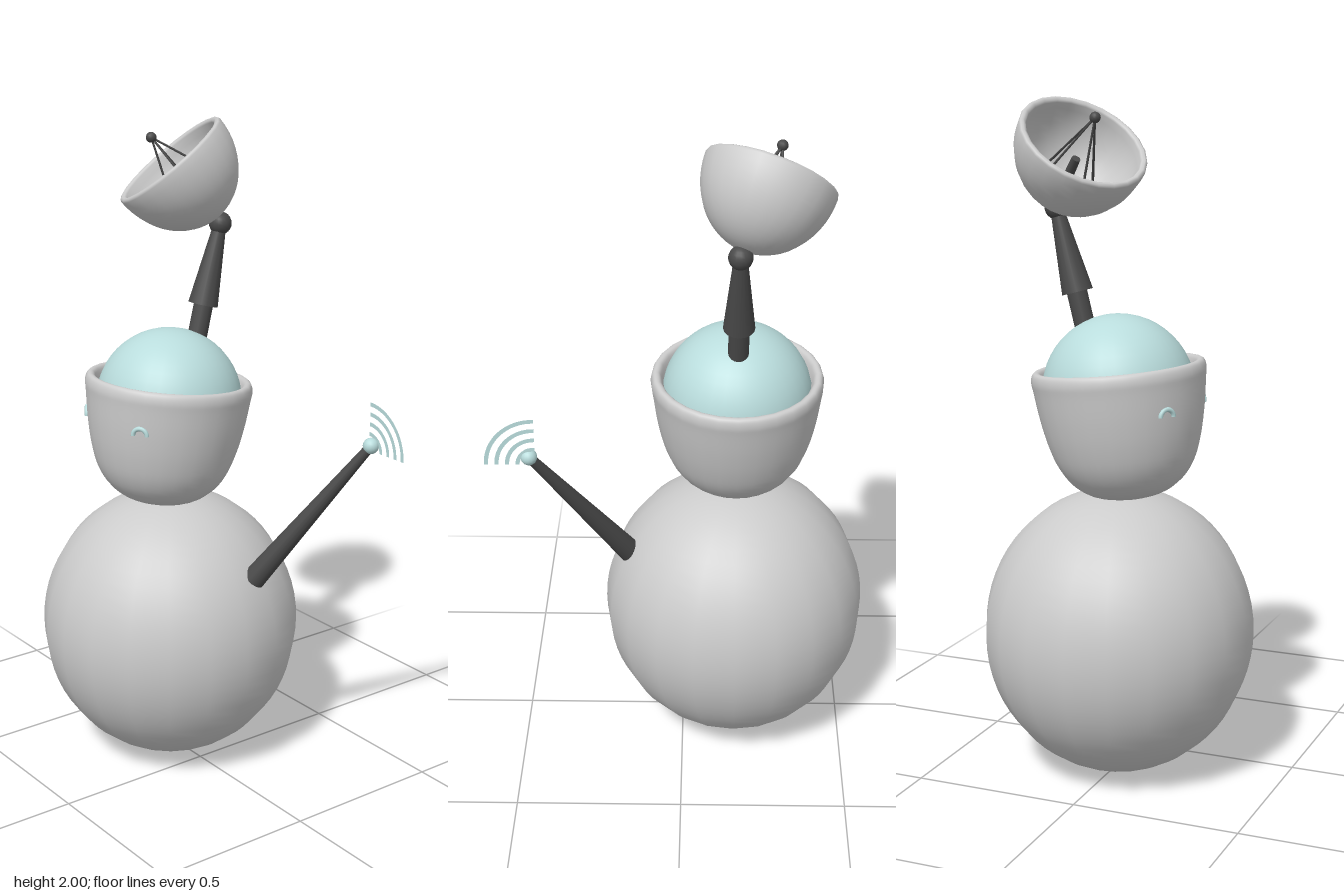
import * as THREE from 'three';

const V = (x, y, z) => new THREE.Vector3(x, y, z);
const mat = (color) => new THREE.MeshStandardMaterial({ color, side: THREE.DoubleSide });
const grey = mat(0xcccccc), dark = mat(0x4a4a4a), teal = mat(0xb9dcdc);

function add(parent, name, geometry, material, pos) {
  const mesh = new THREE.Mesh(geometry, material);
  mesh.name = name;
  if (pos) mesh.position.copy(pos);
  parent.add(mesh);
  return mesh;
}

// Tapered rod between two points
function rod(parent, name, a, b, ra, rb, material, sides = 16) {
  const dir = b.clone().sub(a);
  const mesh = add(parent, name, new THREE.CylinderGeometry(rb, ra, dir.length(), sides), material,
    a.clone().add(b).multiplyScalar(0.5));
  mesh.quaternion.setFromUnitVectors(V(0, 1, 0), dir.normalize());
  return mesh;
}

const ball = (r, w = 16, h = 12) => new THREE.SphereGeometry(r, w, h);

// Lathe through a smooth curve over a few profile points
function smoothLathe(pairs, steps, sides) {
  const curve = new THREE.SplineCurve(pairs.map(([r, y]) => new THREE.Vector2(r, y)));
  const points = curve.getPoints(steps);
  points.forEach((p) => { p.x = Math.max(p.x, 0); });
  return new THREE.LatheGeometry(points, sides);
}

export function createModel() {
  const model = new THREE.Group();
  model.name = 'robot';
  const Z = -0.16;

  // Round body, slightly taller than wide
  const body = add(model, 'body', ball(0.403, 20, 32), grey, V(0, 0.43, Z));
  body.scale.y = 0.43 / 0.403;

  // Tilted head: cup with a rounded lip, and a dome
  const head = new THREE.Group();
  head.name = 'head';
  head.position.set(0, 1.21, Z);
  head.rotation.z = -0.1;
  model.add(head);
  add(head, 'headCup', smoothLathe([
    [0, -0.38], [0.1, -0.362], [0.16, -0.325], [0.2, -0.27], [0.225, -0.2], [0.242, -0.12],
    [0.253, -0.04], [0.257, -0.008], [0.252, 0.014], [0.24, 0.02], [0.227, 0.01], [0.215, -0.03],
  ], 44, 28), grey);
  add(head, 'headDome', new THREE.SphereGeometry(0.224, 32, 14, 0, Math.PI * 2, 0, Math.PI * 0.56),
    teal, V(0.005, -0.055, 0));

  // Two small arched eyes on the right side of the head
  for (const side of [-1, 1]) {
    const angle = side * 0.6;
    const eye = add(model, side < 0 ? 'backEye' : 'frontEye',
      new THREE.TorusGeometry(0.022, 0.007, 8, 14, Math.PI), teal,
      V(-0.252 * Math.cos(angle), 1.115, Z + 0.252 * Math.sin(angle)));
    eye.rotation.y = -Math.PI / 2 + angle;
  }

  // Mast on top of the head
  const joint = V(0.195, 1.68, Z);
  rod(model, 'mastPipe', V(0.095, 1.29, Z), V(0.135, 1.45, Z), 0.03, 0.03, dark);
  rod(model, 'mastCone', V(0.13, 1.437, Z), joint, 0.046, 0.019, dark);
  add(model, 'mastJoint', ball(0.035), dark, joint);

  // Dish: local y points out of the opening
  const dish = new THREE.Group();
  dish.name = 'dish';
  const n = V(-0.54, 0.77, -0.33).normalize();
  const e1 = V(0.52, 0, -0.85).projectOnPlane(n).normalize();
  dish.quaternion.setFromRotationMatrix(new THREE.Matrix4().makeBasis(e1, n, e1.clone().cross(n)));
  dish.position.set(0.07, 1.87, -0.243);
  model.add(dish);
  const profile = [];
  const steps = 14;
  for (let i = 0; i <= steps; i++) {
    const t = (i / steps) * Math.PI / 2;
    profile.push(new THREE.Vector2(0.193 * Math.sin(t), -0.222 * Math.cos(t)));
  }
  profile.push(new THREE.Vector2(0.19, 0.007), new THREE.Vector2(0.183, 0.01), new THREE.Vector2(0.175, 0.006));
  for (let i = steps; i >= 0; i--) {
    const t = (i / steps) * Math.PI / 2;
    profile.push(new THREE.Vector2(0.172 * Math.sin(t), -0.2 * Math.cos(t)));
  }
  add(dish, 'dishBowl', new THREE.LatheGeometry(profile, 24), grey);

  // Receiver held by a central rod and four struts
  const feed = V(0, 0.09, 0);
  add(dish, 'receiver', ball(0.016, 12, 10), dark, feed);
  rod(dish, 'receiverRod', V(0, -0.2, 0), V(0, -0.06, 0), 0.017, 0.013, dark, 12);
  for (let i = 0; i < 4; i++) {
    const a = (i * Math.PI) / 2;
    rod(dish, 'receiverStrut', V(0.1 * Math.cos(a), -0.16, 0.1 * Math.sin(a)), feed, 0.004, 0.003, dark, 6);
  }

  // Antenna arm with a glowing tip
  const tip = V(0.295, 1.105, 0.435);
  rod(model, 'arm', V(0.083, 0.648, 0.16), tip, 0.036, 0.014, dark);
  add(model, 'armTip', ball(0.024), teal, tip);

  // Signal arcs in front of the tip
  for (let i = 0; i < 4; i++) {
    const r = 0.05 + i * 0.03;
    const arc = new THREE.RingGeometry(r - 0.006, r + 0.006, 16, 1, 0, Math.PI / 2).rotateY(-Math.PI / 2);
    add(model, 'signalArc', arc, teal, V(0.305, 1.085, 0.417));
  }

  return model;
}
